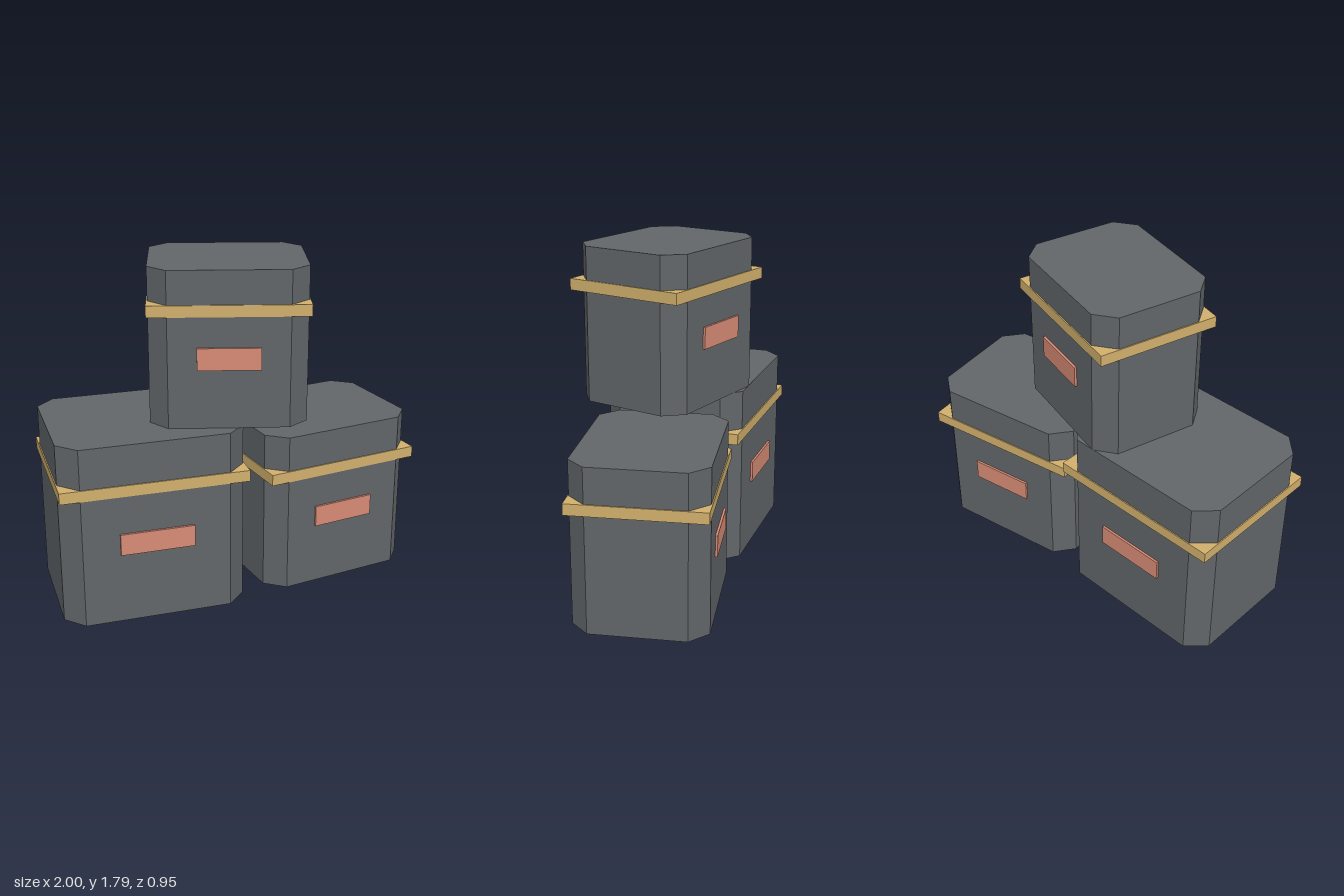
import * as THREE from 'three';

const mat = (name, color) => {
  const m = new THREE.MeshStandardMaterial({ color });
  m.name = name;
  return m;
};

// Upright block with its four vertical corners cut off
function chamferedBlock(w, h, d, c) {
  const x = w / 2, z = d / 2;
  const shape = new THREE.Shape([
    [x, -z + c], [x, z - c], [x - c, z], [-x + c, z],
    [-x, z - c], [-x, -z + c], [-x + c, -z], [x - c, -z],
  ].map(([a, b]) => new THREE.Vector2(a, b)));
  return new THREE.ExtrudeGeometry(shape, { depth: h, bevelEnabled: false }).rotateX(-Math.PI / 2);
}

export function createModel() {
  const metal = mat('slate grey', 0x626669);
  const gold = mat('brass', 0xd2b06c);
  const salmon = mat('salmon', 0xd88b75);
  const model = new THREE.Group();
  model.name = 'crateStack';

  const add = (parent, name, geometry, material, y = 0, z = 0) => {
    const mesh = new THREE.Mesh(geometry, material);
    mesh.name = name;
    mesh.position.set(0, y, z);
    parent.add(mesh);
  };

  const crates = [
    { name: 'rightCrate', w: 0.97, h: 0.975, d: 0.775, c: 0.098, pos: [-0.51, 0, 0.046], turn: 0 },
    { name: 'leftCrate', w: 0.875, h: 0.877, d: 0.695, c: 0.096, pos: [0.5, 0, -0.048], turn: 0.175 },
    { name: 'topCrate', w: 0.808, h: 0.817, d: 0.648, c: 0.096, pos: [-0.024, 0.975, 0.048], turn: -0.262 },
  ];

  for (const { name, w, h, d, c, pos, turn } of crates) {
    const crate = new THREE.Group();
    crate.name = name;
    crate.position.set(...pos);
    crate.rotation.y = turn;
    add(crate, 'body', chamferedBlock(w, h, d, c), metal);
    // Square-cornered strap that overhangs the cut corners
    add(crate, 'strap', new THREE.BoxGeometry(w + 0.012, 0.06, d + 0.012), gold, h * 0.75);
    // Label plates on the front and back
    for (const side of [1, -1]) {
      add(crate, side > 0 ? 'frontLabel' : 'backLabel',
        new THREE.BoxGeometry(w * 0.4, 0.115, 0.02), salmon, h * 0.45, side * (d / 2 + 0.002));
    }
    model.add(crate);
  }
  return model;
}
